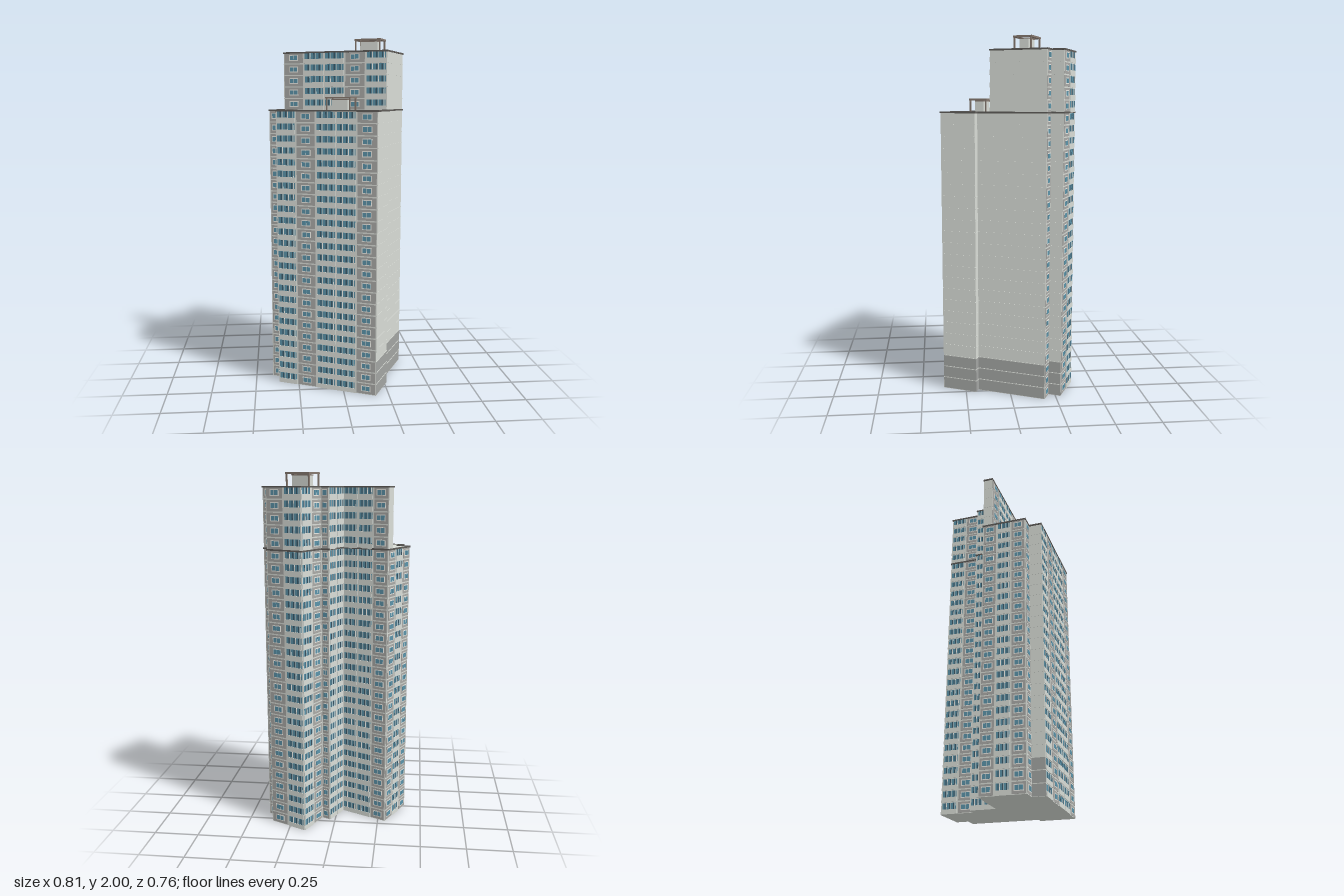
import * as THREE from 'three';
import { mergeGeometries } from 'three/addons/utils/BufferGeometryUtils.js';

const mat = (name, color) => {
  const m = new THREE.MeshStandardMaterial({ color });
  m.name = name;
  return m;
};
const M = {
  wall: mat('paleConcrete', 0xd9ddd7),
  base: mat('baseGrey', 0xa3a5a3),
  panel: mat('panelGrey', 0xa9a9a6),
  frame: mat('windowFrame', 0xeeeee8),
  glass: mat('glass', 0x5b93a9),
  dark: mat('darkGlass', 0x3c5a6a),
  trim: mat('darkTrim', 0x5f5c59),
  brown: mat('roofBrown', 0x867970),
};

const LOW = 1.59, HIGH = 1.925, FLOORS = 24, TOP_FLOORS = 29;
const FH = LOW / FLOORS, FH2 = (HIGH - LOW) / (TOP_FLOORS - FLOORS);

// Corners of the plan in its own axes, then the bays of the wall that starts there
const plan = [
  [-0.279, 0.262, 'BPBBP'], [0.32, 0.262, ''], [0.32, 0.06, ''], [0.283, 0.06, ''],
  [0.283, -0.337, 'P'], [0.208, -0.337, ''], [0.208, -0.408, 'PB'], [-0.02, -0.408, 'BP'],
  [-0.02, -0.219, 'P'], [-0.07, -0.219, 'BB'], [-0.07, -0.067, 'BBP'], [-0.355, -0.067, 'PBP'],
  [-0.355, 0.188, 'P'], [-0.279, 0.188, ''],
];
const upperPlan = [[-0.355, -0.016, 'PBBPB'], [0.283, -0.016, ''],
  ...plan.slice(4, 11), [-0.355, -0.067, '']];

// Collects boxes by material and makes one mesh for each
function collector() {
  const bins = new Map();
  return {
    box(m, w, h, d, x, y, z) {
      if (!bins.has(m)) bins.set(m, []);
      bins.get(m).push(new THREE.BoxGeometry(w, h, d).translate(x, y, z));
    },
    group(name) {
      const g = new THREE.Group();
      g.name = name;
      for (const [m, list] of bins) {
        const mesh = new THREE.Mesh(mergeGeometries(list), m);
        mesh.name = name + '_' + m.name;
        g.add(mesh);
      }
      return g;
    },
  };
}

function block(name, points, y0, y1, material) {
  const shape = new THREE.Shape(points.map(([u, v]) => new THREE.Vector2(u, -v)));
  const geo = new THREE.ExtrudeGeometry(shape, { depth: y1 - y0, bevelEnabled: false });
  const mesh = new THREE.Mesh(geo.rotateX(-Math.PI / 2).translate(0, y0, 0), material);
  mesh.name = name;
  return mesh;
}

// Grey panel with a two-light window
function panelCell(c, x, y, w, h) {
  const fw = Math.min(0.056, w * 0.6), fh = h * 0.52;
  c.box(M.panel, w - 0.01, h - 0.007, 0.002, x, y + h / 2, 0.001);
  c.box(M.frame, fw, fh, 0.002, x, y + h * 0.52, 0.002);
  for (const s of [-1, 1])
    c.box(M.glass, fw * 0.38, fh * 0.72, 0.002, x + s * fw * 0.22, y + h * 0.52, 0.003);
}

// Glazed balcony above a pale parapet
function balconyCell(c, x, y, w, h) {
  const gw = w - 0.014;
  c.box(M.glass, gw, h * 0.52, 0.002, x, y + h * 0.66, 0.001);
  c.box(M.wall, gw + 0.006, h * 0.4, 0.004, x, y + h * 0.2, 0.002);
  for (const k of [-0.3, 0.02, 0.32])
    c.box(M.dark, gw * 0.07, h * 0.5, 0.002, x + gw * k, y + h * 0.66, 0.002);
  for (const k of [-0.2, 0.12, 0.42])
    c.box(M.frame, 0.004, h * 0.52, 0.002, x + gw * k, y + h * 0.66, 0.002);
}

// One wall from a to b, standing on floor line y0
function facade(a, b, y0, floors, fh) {
  const du = b[0] - a[0], dv = b[1] - a[1], len = Math.hypot(du, dv), bays = a[2];
  const c = collector();
  if (bays) {
    c.box(M.wall, len, floors * fh, 0.001, len / 2, y0 + floors * fh / 2, 0.0003);
    const w = len / bays.length;
    for (let f = 0; f < floors; f++)
      [...bays].forEach((k, i) =>
        (k === 'P' ? panelCell : balconyCell)(c, (i + 0.5) * w, y0 + f * fh, w, fh));
  } else {
    // Floor joints on blank walls
    for (let f = 1; f < floors; f++)
      c.box(M.wall, len, 0.004, 0.002, len / 2, y0 + f * fh, 0.0005);
  }
  const g = c.group(bays ? 'windowWall' : 'blankWall');
  g.position.set(a[0], 0, a[1]);
  g.rotation.y = -Math.atan2(dv, du);
  return g;
}

// Dark coping round a plan
function coping(name, points, y) {
  const g = new THREE.Group();
  g.name = name;
  points.forEach((a, i) => {
    const b = points[(i + 1) % points.length];
    const len = Math.hypot(b[0] - a[0], b[1] - a[1]);
    const m = new THREE.Mesh(new THREE.BoxGeometry(len + 0.008, 0.009, 0.008), M.trim);
    m.name = 'copingStrip';
    m.position.set((a[0] + b[0]) / 2, y, (a[1] + b[1]) / 2);
    m.rotation.y = -Math.atan2(b[1] - a[1], b[0] - a[0]);
    g.add(m);
  });
  return g;
}

// Roof hut inside an open frame on four legs
function roofHouse(u, v, y, w, d) {
  const c = collector(), t = 0.013, top = 0.075;
  const hw = w - 0.055, hd = d - 0.055;
  c.box(M.wall, hw, 0.058, hd, 0, 0.029, 0);
  c.box(M.brown, hw + 0.002, 0.006, hd + 0.002, 0, 0.061, 0);
  for (const s of [-1, 1]) {
    c.box(M.brown, w, 0.01, t, 0, top - 0.005, s * (d - t) / 2);
    c.box(M.brown, t, 0.01, d - 2 * t, s * (w - t) / 2, top - 0.005, 0);
    for (const r of [-1, 1])
      c.box(M.brown, 0.008, top - 0.01, 0.008, s * (w - t) / 2, (top - 0.01) / 2, r * (d - t) / 2);
  }
  const g = c.group('roofHouse');
  g.position.set(u, y, v);
  return g;
}

export function createModel() {
  const model = new THREE.Group();
  model.name = 'apartmentTower';
  const tower = new THREE.Group();
  tower.name = 'tower';
  tower.rotation.y = -25.6 * Math.PI / 180;
  model.add(tower);

  tower.add(
    block('footing', plan, 0, 0.002, M.wall),
    block('base', plan, 0.002, 3 * FH, M.base),
    block('lowerBody', plan, 3 * FH, LOW, M.wall),
    block('upperBody', upperPlan, LOW, HIGH, M.wall),
    coping('lowerCoping', plan, LOW),
    coping('upperCoping', upperPlan, HIGH - 0.003),
    roofHouse(0.057, 0.119, LOW, 0.149, 0.107),
    roofHouse(0.13, -0.174, HIGH, 0.16, 0.108),
  );
  plan.forEach((a, i) =>
    tower.add(facade(a, plan[(i + 1) % plan.length], 0, FLOORS, FH)));
  upperPlan.forEach((a, i) =>
    tower.add(facade(a, upperPlan[(i + 1) % upperPlan.length], LOW, TOP_FLOORS - FLOORS, FH2)));
  return model;
}
